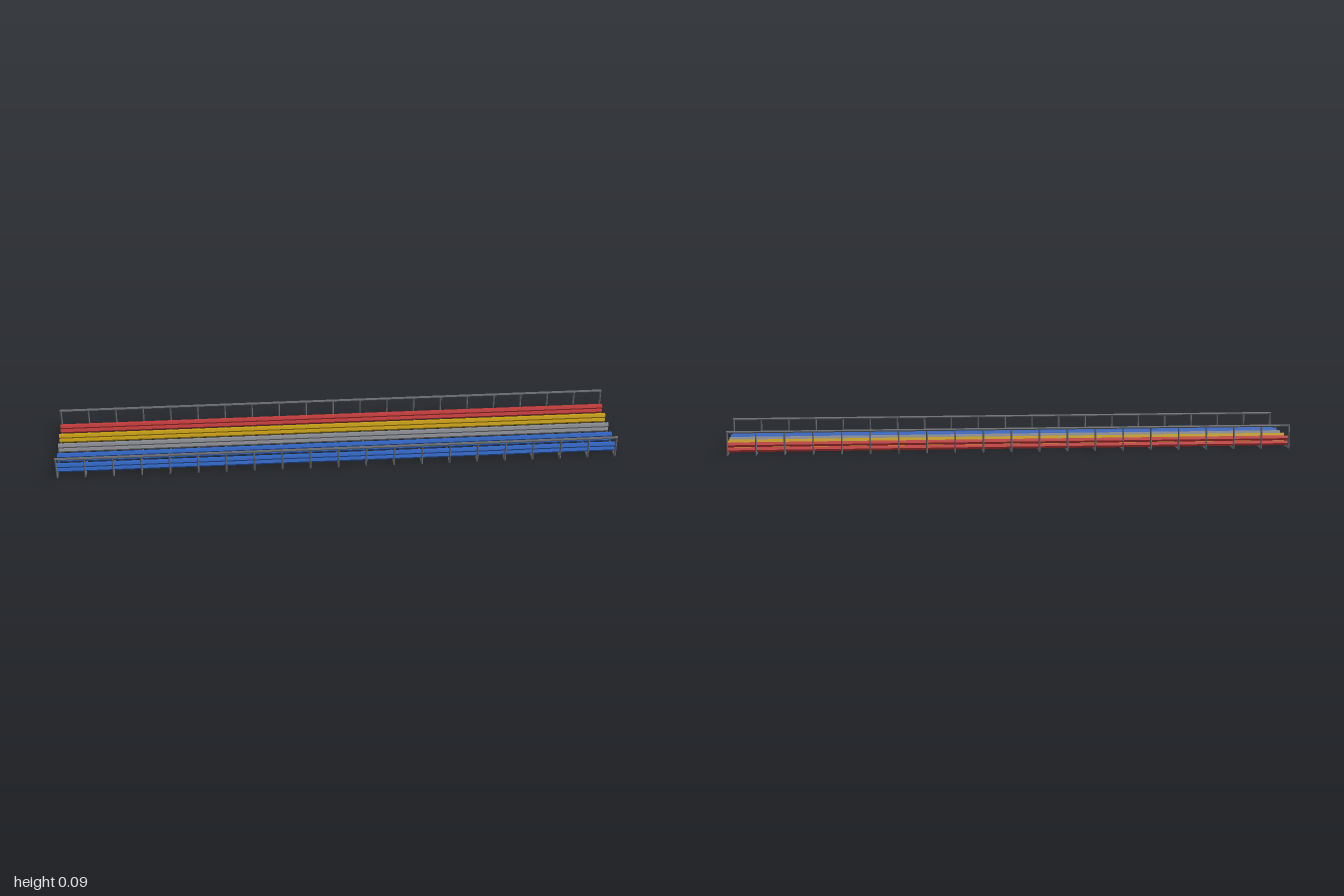
import * as THREE from 'three';

export function createModel() {
  const model = new THREE.Group();
  model.name = 'cableTray';

  const paint = (name, color) => {
    const m = new THREE.MeshStandardMaterial({ color, flatShading: true });
    m.name = name;
    return m;
  };
  const steel = paint('steel', 0x6b6e73);
  const blue = paint('blue', 0x2f66c6);
  const grey = paint('grey', 0x8a8d94);
  const yellow = paint('yellow', 0xc9a00c);
  const red = paint('red', 0xc73a3a);

  // Six-sided rod centred at x, y, z and running along the given axis
  const rod = (parent, name, axis, radius, length, material, x, y, z) => {
    const geometry = new THREE.CylinderGeometry(radius, radius, length, 6);
    if (axis === 'x') geometry.rotateZ(Math.PI / 2);
    if (axis === 'z') geometry.rotateX(Math.PI / 2);
    const mesh = new THREE.Mesh(geometry, material);
    mesh.name = name;
    mesh.position.set(x, y, z);
    parent.add(mesh);
  };

  const halfWidth = 0.15, railY = 0.084, wire = 0.0034, rungs = 21;

  // U-shaped wire supports: a rung with a post at each end
  for (let i = 0; i < rungs; i++) {
    const support = new THREE.Group();
    support.name = 'support';
    support.position.x = (1 - wire) * (2 * i / (rungs - 1) - 1);
    rod(support, 'rung', 'z', wire, 2 * halfWidth, steel, 0, wire, 0);
    for (const side of [-1, 1]) {
      rod(support, 'post', 'y', wire, railY - wire, steel, 0, (railY + wire) / 2, side * halfWidth);
    }
    model.add(support);
  }

  // Top rails along both sides
  for (const side of [-1, 1]) {
    rod(model, 'topRail', 'x', 0.0045, 2, steel, 0, railY, side * halfWidth);
  }

  // Five pairs of stacked cables, back to front
  [red, yellow, grey, blue, blue].forEach((material, i) => {
    for (const y of [0.0165, 0.0345]) {
      rod(model, material.name + 'Cable', 'x', 0.009, 2, material, 0, y, -0.12 + i * 0.06);
    }
  });

  return model;
}
